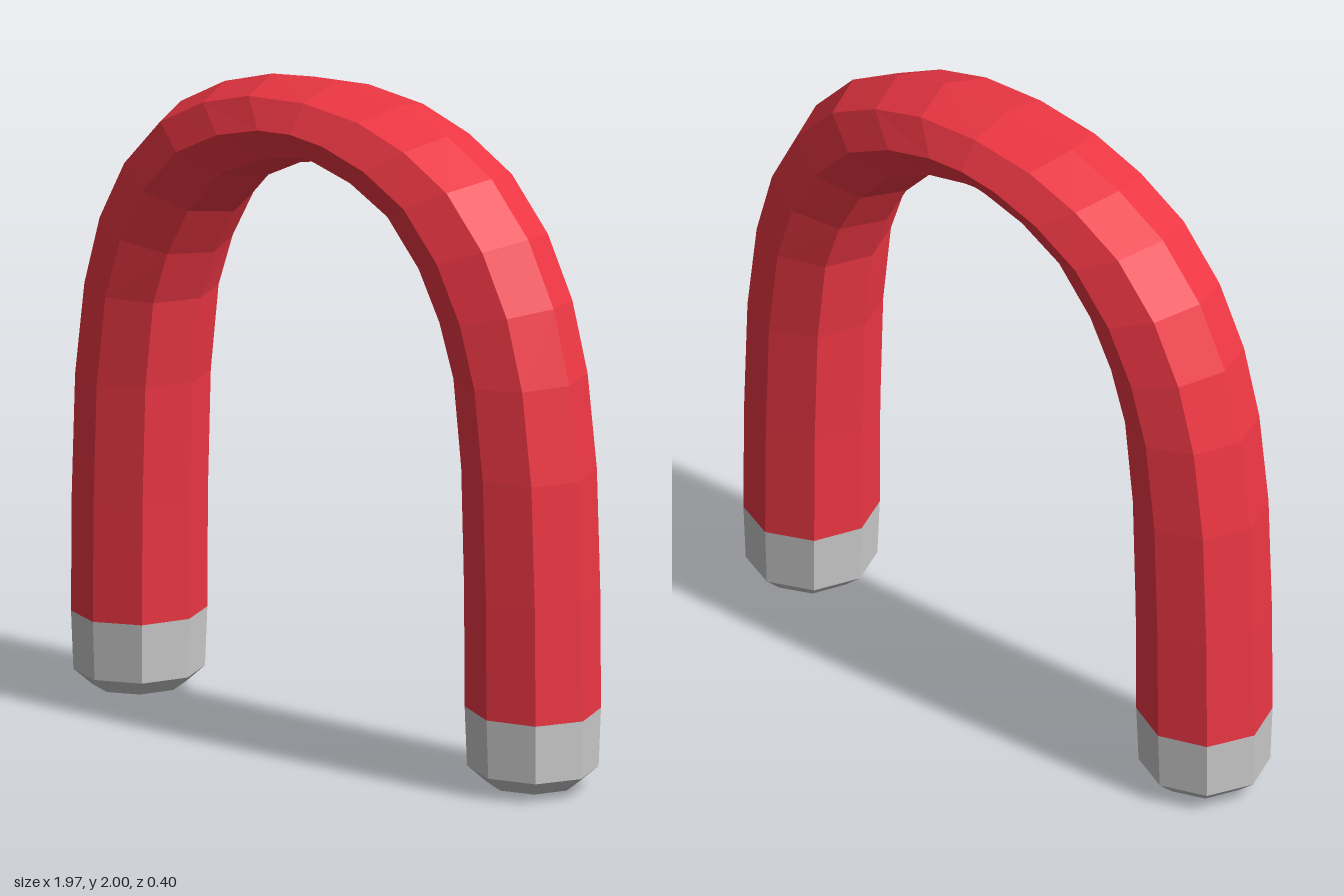
import * as THREE from 'three';

const SIDES = 8;

// Each ring: [outer x, outer y, inner x, inner y, half depth in z]
const TIP = [
  [0.785, 0.005, 0.785, 0.005, 0],
  [0.92, 0.02, 0.65, 0.026, 0.14],
  [0.978, 0.066, 0.592, 0.075, 0.193],
  [0.985, 0.243, 0.585, 0.255, 0.2],
];
const BEND = [
  [0.982, 0.6, 0.583, 0.61, 0.2],
  [0.968, 0.968, 0.572, 0.979, 0.2],
  [0.93, 1.254, 0.542, 1.24, 0.2],
  [0.868, 1.476, 0.487, 1.39, 0.2],
  [0.767, 1.667, 0.407, 1.53, 0.2],
  [0.62, 1.825, 0.286, 1.66, 0.2],
  [0.444, 1.92, 0.143, 1.73, 0.2],
  [0.254, 1.979, 0.004, 1.762, 0.2],
];
const APEX = [0, 2, 0, 1.764, 0.2];

// The same rings on the other side, walked in the opposite direction
const mirrored = (rings) =>
  rings.map(([ox, oy, ix, iy, d]) => [-ox, oy, -ix, iy, d]).reverse();

function ringPoint([ox, oy, ix, iy, depth], j) {
  const t = (j / SIDES) * Math.PI * 2;
  const c = Math.cos(t) / 2;
  return new THREE.Vector3(
    (ox + ix) / 2 + c * (ox - ix),
    (oy + iy) / 2 + c * (oy - iy),
    Math.sin(t) * depth
  );
}

// Skin a sequence of rings with flat facets
function skin(name, rings, color) {
  const pos = [];
  const tri = new THREE.Triangle();
  const add = (a, b, c) => {
    if (tri.set(a, b, c).getArea() < 1e-7) return;
    for (const p of [a, b, c]) pos.push(p.x, p.y, p.z);
  };
  for (let i = 0; i < rings.length - 1; i++) {
    for (let j = 0; j < SIDES; j++) {
      const a = ringPoint(rings[i], j);
      const b = ringPoint(rings[i], j + 1);
      const c = ringPoint(rings[i + 1], j + 1);
      const d = ringPoint(rings[i + 1], j);
      add(a, d, b);
      add(b, d, c);
    }
  }
  const geometry = new THREE.BufferGeometry();
  geometry.setAttribute('position', new THREE.Float32BufferAttribute(pos, 3));
  geometry.computeVertexNormals();
  const mesh = new THREE.Mesh(
    geometry,
    new THREE.MeshStandardMaterial({ color, flatShading: true })
  );
  mesh.name = name;
  return mesh;
}

export function createModel() {
  const group = new THREE.Group();
  group.name = 'horseshoeMagnet';

  // Red arch between the two tips
  const half = [TIP[TIP.length - 1], ...BEND];
  group.add(skin('redArch', [...half, APEX, ...mirrored(half)], 0xee3744));

  // Bare metal tips
  group.add(skin('leftTip', TIP, 0xcccccc));
  group.add(skin('rightTip', mirrored(TIP), 0xcccccc));

  return group;
}
